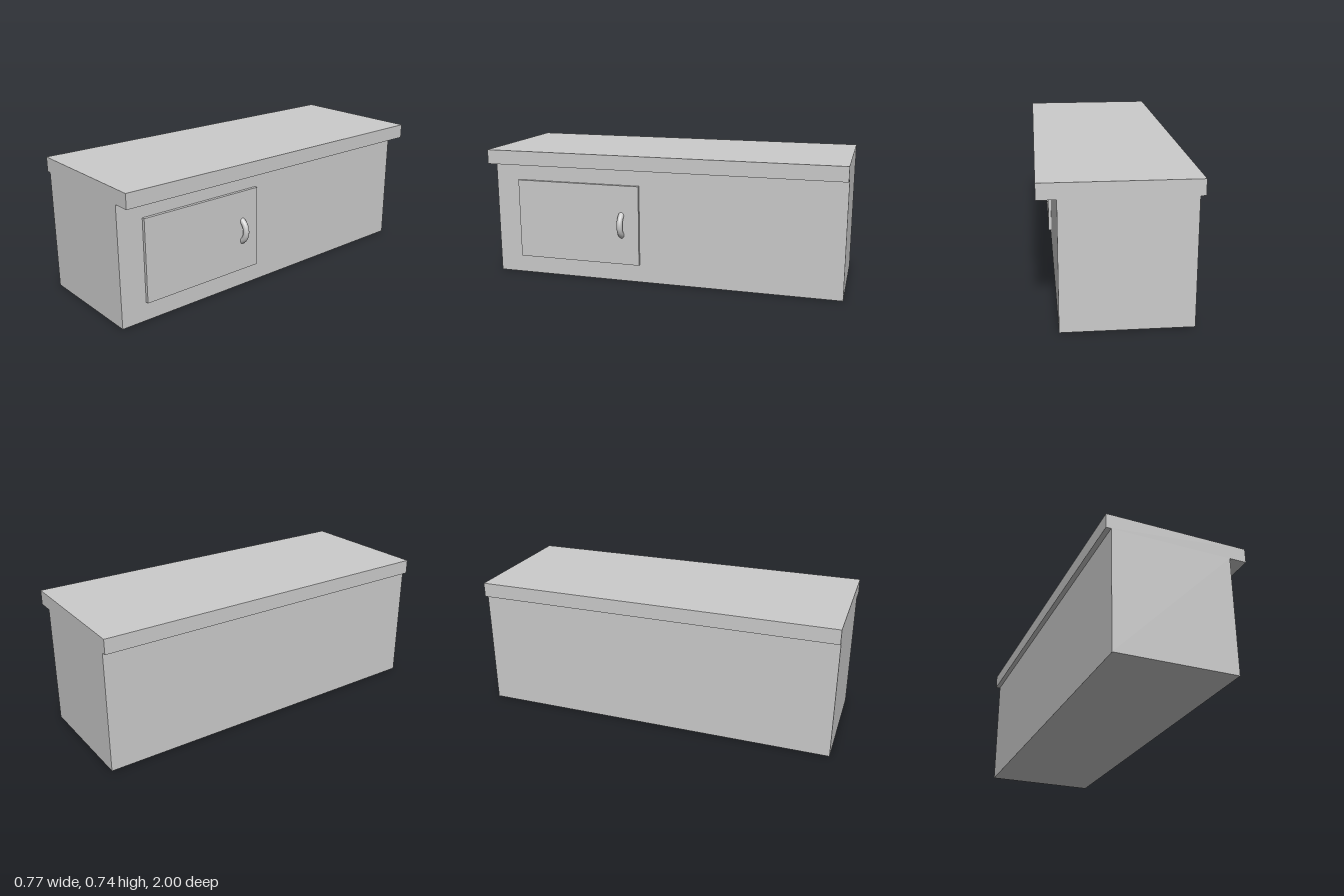
import * as THREE from 'three';

const material = new THREE.MeshStandardMaterial({ color: 0xcccccc });

// Box given by its lower and upper corners
function box(name, min, max) {
  const size = max.map((v, i) => v - min[i]);
  const mesh = new THREE.Mesh(new THREE.BoxGeometry(...size), material);
  mesh.name = name;
  mesh.position.set(...max.map((v, i) => (v + min[i]) / 2));
  return mesh;
}

export function createModel() {
  const group = new THREE.Group();
  group.name = 'counter';

  // Cabinet body, overhanging worktop and side door
  group.add(
    box('cabinetBody', [-0.36, 0, -1], [0.292, 0.657, 1]),
    box('worktop', [-0.387, 0.657, -1], [0.387, 0.737, 1]),
    box('door', [0.292, 0.102, 0.13], [0.309, 0.556, 0.857])
  );

  // Bowed pull handle, with its ends buried in the door
  const arc = 2.5;
  const geometry = new THREE.TorusGeometry(0.068, 0.0165, 20, 40, arc);
  geometry.rotateZ(-arc / 2);
  const handle = new THREE.Mesh(geometry, material);
  handle.name = 'doorHandle';
  handle.position.set(0.27, 0.329, 0.232);
  group.add(handle);

  return group;
}
